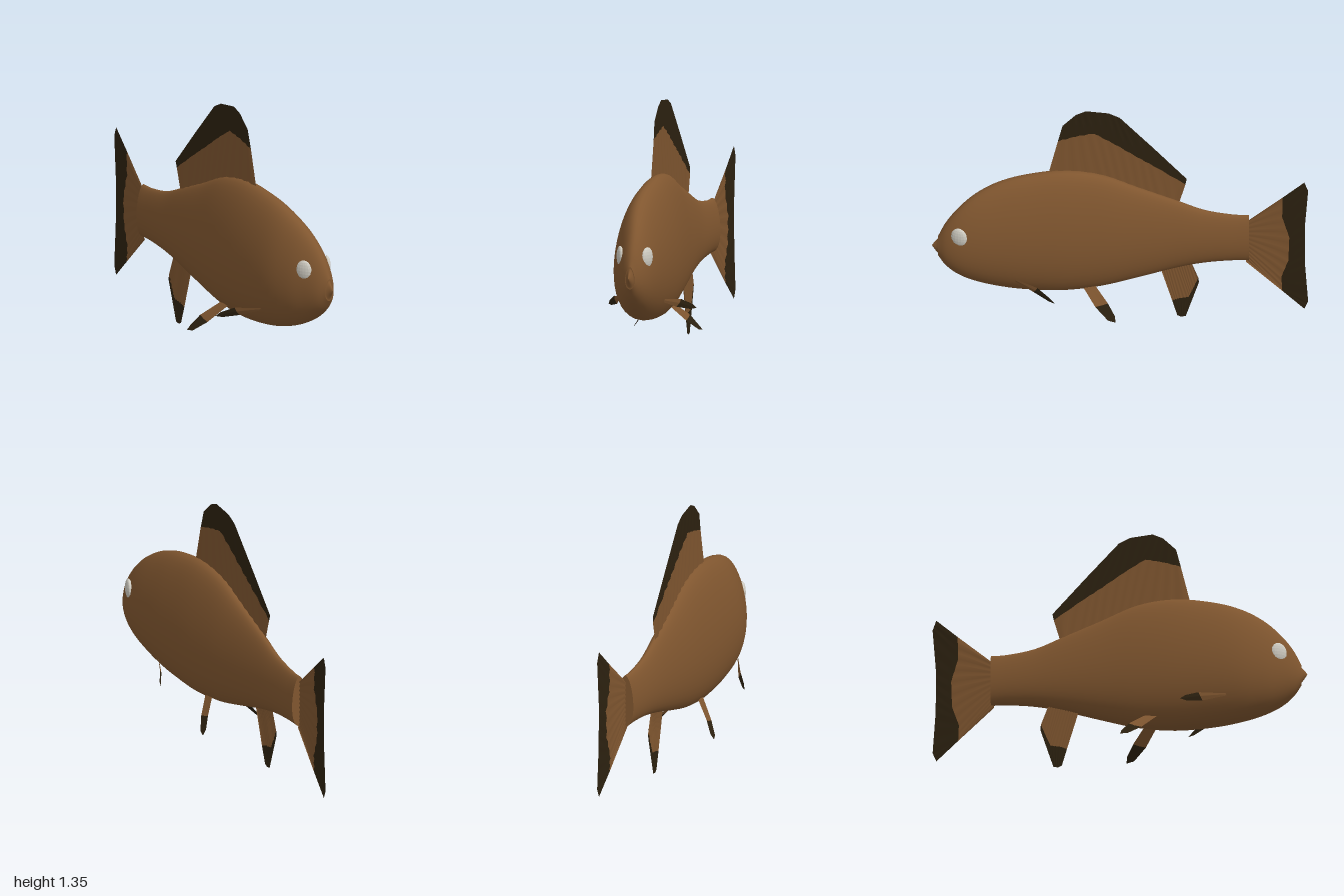
import * as THREE from 'three';

const brown = new THREE.MeshStandardMaterial({ name: 'brown scales', color: 0x80562f });
const finBrown = new THREE.MeshStandardMaterial({ name: 'brown fin', color: 0x7e552f, side: THREE.DoubleSide });
const finDark = new THREE.MeshStandardMaterial({ name: 'dark fin edge', color: 0x2c2110, side: THREE.DoubleSide });
const pale = new THREE.MeshStandardMaterial({ name: 'pale eye', color: 0xcfccc2, flatShading: true });

const SIDES = 40;

// Skin a list of rows of points; closed rows wrap around.
function skin(rows, closed) {
  const n = rows[0].length, index = [];
  for (let i = 0; i < rows.length - 1; i++) {
    for (let j = 0; j < (closed ? n : n - 1); j++) {
      const k = (j + 1) % n;
      const a = i * n + j, b = (i + 1) * n + j, c = (i + 1) * n + k, d = i * n + k;
      index.push(a, b, c, a, c, d);
    }
  }
  const g = new THREE.BufferGeometry();
  g.setAttribute('position', new THREE.Float32BufferAttribute(rows.flat(2), 3));
  g.setIndex(index);
  g.computeVertexNormals();
  return g;
}

function addMesh(parent, name, geometry, material) {
  const m = new THREE.Mesh(geometry, material);
  m.name = name;
  parent.add(m);
  return m;
}

// Egg-shaped cross-section, a little wider below the middle.
function ring(x, top, bottom, halfWidth, zc) {
  const yc = (top + bottom) / 2, h = (top - bottom) / 2;
  return Array.from({ length: SIDES }, (_, j) => {
    const a = (j / SIDES) * Math.PI * 2, s = Math.sin(a);
    return [x, yc + h * s, zc + halfWidth * Math.cos(a) * (1 - 0.2 * s)];
  });
}

// Body stations from tail to nose: x, top, bottom, half width, centre z
const stations = [
  [-0.685, 0.68, 0.39, 0.045, -0.022],
  [-0.6, 0.68, 0.388, 0.047, -0.018],
  [-0.45, 0.705, 0.37, 0.054, -0.011],
  [-0.3, 0.765, 0.335, 0.066, -0.006],
  [-0.1, 0.848, 0.275, 0.089, -0.004],
  [0.1, 0.933, 0.222, 0.114, -0.004],
  [0.3, 0.96, 0.2, 0.133, -0.006],
  [0.5, 0.935, 0.212, 0.14, -0.009],
  [0.65, 0.89, 0.24, 0.135, -0.015],
  [0.77, 0.825, 0.282, 0.116, -0.03],
  [0.86, 0.745, 0.333, 0.089, -0.046],
  [0.925, 0.66, 0.392, 0.06, -0.054],
  [0.967, 0.575, 0.455, 0.026, -0.058],
];

function buildBody(parent) {
  const outline = new THREE.CatmullRomCurve3(
    stations.map((s) => new THREE.Vector3(s[0], s[1], s[2])), false, 'catmullrom');
  const girth = new THREE.CatmullRomCurve3(
    stations.map((s) => new THREE.Vector3(s[0], s[3], s[4])), false, 'catmullrom');
  const rings = [];
  for (let i = 0; i <= 60; i++) {
    const o = outline.getPoint(i / 60), g = girth.getPoint(i / 60);
    rings.push(ring(o.x, o.y, o.z, g.y, g.z));
  }
  addMesh(parent, 'body', skin(rings, true), brown);
  addMesh(parent, 'tailStump', skin([ring(-0.685, 0.53, 0.53, 0, -0.022), rings[0]], true), brown);
  // Pointed lips with a shallow groove around them
  addMesh(parent, 'mouth', skin([
    rings[60],
    ring(0.966, 0.562, 0.468, 0.02, -0.058),
    ring(0.984, 0.542, 0.492, 0.011, -0.058),
    ring(1.0, 0.518, 0.518, 0, -0.058),
  ], true), brown);
}

// Point at parameter t along an evenly parametrised polyline
function along(points, t) {
  const f = t * (points.length - 1);
  const i = Math.min(Math.floor(f), points.length - 2);
  return points[i].map((v, k) => v + (points[i + 1][k] - v) * (f - i));
}

// Fin made of a brown web and a dark margin, with faint rays across it.
function buildFin(parent, name, base, band, tip, ripple) {
  const N = 24;
  const row = (points, amount) => Array.from({ length: N + 1 }, (_, j) => {
    const p = along(points, j / N);
    return [p[0], p[1], p[2] + (j % 2 ? amount : -amount)];
  });
  const fin = new THREE.Group();
  fin.name = name;
  const middle = row(band, ripple);
  addMesh(fin, name + 'Web', skin([row(base, ripple), middle], false), finBrown);
  addMesh(fin, name + 'Margin', skin([middle, row(tip, 0)], false), finDark);
  parent.add(fin);
}

// Give 2D fin outlines their z
const lay = (points, z) => points.map(([x, y]) => [x, y, z(x)]);

export function createModel() {
  const fish = new THREE.Group();
  fish.name = 'fish';
  buildBody(fish);

  // Dorsal fin
  const mid = () => 0.003;
  buildFin(fish, 'dorsalFin',
    lay([[-0.31, 0.73], [-0.1, 0.8], [0.1, 0.9], [0.385, 0.92]], mid),
    lay([[-0.348, 0.865], [-0.18, 0.985], [-0.09, 1.045], [0.03, 1.13], [0.14, 1.2], [0.235, 1.18], [0.33, 1.15]], mid),
    lay([[-0.355, 0.9], [-0.18, 1.1], [0, 1.3], [0.06, 1.33], [0.18, 1.345], [0.235, 1.32], [0.305, 1.25]], mid),
    0.003);

  // Tail fin, swept slightly to one side
  const sweep = (x) => -0.02 + (x + 0.68) * 0.115;
  buildFin(fish, 'tailFin',
    lay([[-0.67, 0.635], [-0.67, 0.375]], sweep),
    lay([[-0.865, 0.81], [-0.862, 0.68], [-0.9, 0.55], [-0.895, 0.4], [-0.858, 0.29], [-0.862, 0.205], [-0.865, 0.198]], sweep),
    lay([[-0.98, 0.915], [-1.0, 0.86], [-0.982, 0.62], [-0.982, 0.5], [-0.984, 0.37], [-1.0, 0.14], [-0.98, 0.09]], sweep),
    0.003);

  // Anal fin
  buildFin(fish, 'analFin',
    lay([[-0.375, 0.37], [-0.21, 0.34]], mid),
    lay([[-0.417, 0.255], [-0.385, 0.175], [-0.365, 0.13], [-0.31, 0.12], [-0.278, 0.107]], mid),
    lay([[-0.42, 0.225], [-0.385, 0.115], [-0.35, 0.005], [-0.325, 0], [-0.305, 0.01]], mid),
    0.003);

  // Paired fins
  for (const [side, label] of [[1, 'near'], [-1, 'far']]) {
    const flip = (points, shift) =>
      points.map(([x, y, z]) => [x, y, side > 0 ? z : -z + shift]);

    buildFin(fish, label + 'PectoralFin',
      flip([[0.58, 0.345, 0.115], [0.585, 0.335, 0.11]], 0),
      flip([[0.44, 0.325, 0.185], [0.45, 0.305, 0.18], [0.46, 0.285, 0.165]], 0),
      flip([[0.375, 0.29, 0.23], [0.348, 0.265, 0.245], [0.38, 0.263, 0.22]], 0), 0);

    buildFin(fish, label + 'PelvicFin',
      flip([[0.14, 0.255, 0.065], [0.21, 0.255, 0.06]], 0.02),
      flip([[0.065, 0.178, 0.142], [0.095, 0.165, 0.142], [0.132, 0.155, 0.142]], 0.02),
      flip([[0.028, 0.12, 0.178], [0.024, 0.093, 0.2], [0.065, 0.1, 0.19]], 0.02), 0);
  }

  // Eyes, lying against the cheeks
  for (const [name, z, yaw] of [['nearEye', 0.028, 0.5], ['farEye', -0.121, -0.35]]) {
    const eye = addMesh(fish, name, new THREE.SphereGeometry(1, 16, 10), pale);
    eye.scale.set(0.045, 0.056, 0.018);
    eye.position.set(0.856, 0.612, z);
    eye.rotation.y = yaw;
  }
  return fish;
}
